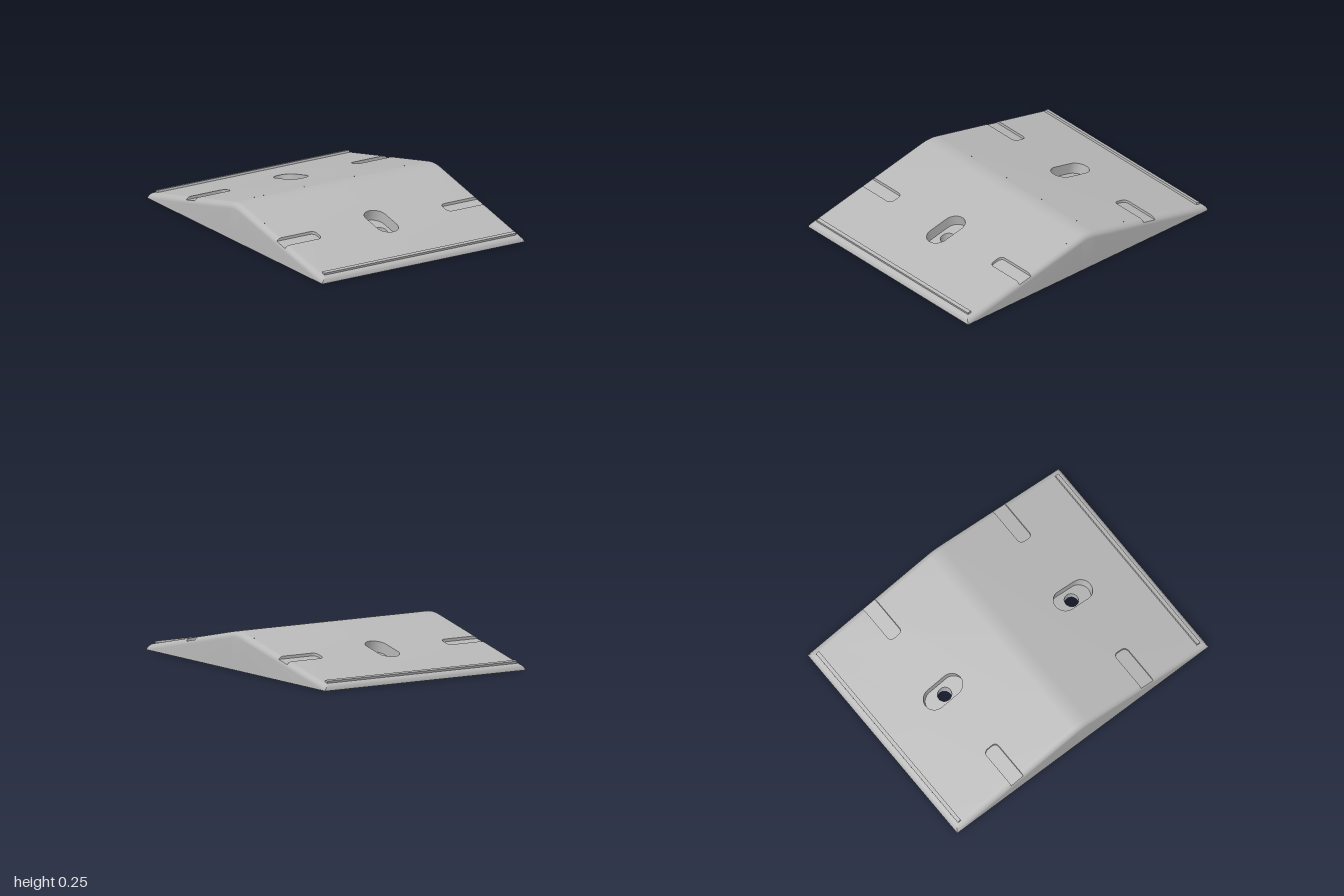
import * as THREE from 'three';
import { mergeGeometries, toCreasedNormals } from 'three/addons/utils/BufferGeometryUtils.js';

const HALF_W = 0.755, FILLET = 0.04, FLAT_X = HALF_W - FILLET;
const RIDGE = 0.06, END = 0.96, SLOPE = 0.218;
const NOTCH = { x: 0.47, z0: 0.47, z1: 0.565, r: 0.03, depth: 0.018 };
const tilt = Math.atan(SLOPE);

// Ramp profile: softened ridge, straight slope
const main = z => z < RIDGE ? 0.245 - SLOPE / (2 * RIDGE) * z * z : 0.2515 - SLOPE * z;

// Full top height including the rounded sides and rounded toe
function height(x, z) {
  const dx = Math.min(FILLET, Math.max(0, Math.abs(x) - FLAT_X));
  const side = main(z) - FILLET + Math.sqrt(FILLET * FILLET - dx * dx);
  const e = Math.min(1, Math.max(0, (z - END) / (1 - END)));
  const toe = z > END ? main(END) * Math.sqrt(1 - e * e) : Infinity;
  return Math.max(0, Math.min(side, toe));
}

const range = (n, f) => Array.from({ length: n + 1 }, (_, i) => f(i / n));

// Grid surface whose front faces dP/du x dP/dv
function sheet(us, vs, fn) {
  const pos = [];
  for (let i = 0; i < us.length - 1; i++) {
    for (let j = 0; j < vs.length - 1; j++) {
      const a = fn(us[i], vs[j]), b = fn(us[i + 1], vs[j]);
      const c = fn(us[i + 1], vs[j + 1]), d = fn(us[i], vs[j + 1]);
      pos.push(...a, ...b, ...c, ...a, ...c, ...d);
    }
  }
  const g = new THREE.BufferGeometry();
  g.setAttribute('position', new THREE.Float32BufferAttribute(pos, 3));
  return g;
}

// Flat shape whose points are moved to fn(x, shapeY)
function plate(shape, fn) {
  const g = new THREE.ShapeGeometry(shape, 16).toNonIndexed();
  g.deleteAttribute('normal');
  g.deleteAttribute('uv');
  const p = g.attributes.position;
  for (let i = 0; i < p.count; i++) p.setXYZ(i, ...fn(p.getX(i), p.getY(i)));
  return g;
}

// Wall between two mappings of an outline, facing the inside of a CCW loop
const wall = (pts, top, bottom) => sheet(pts.map((_, i) => i), [0, 1],
  (i, v) => (v ? bottom : top)(pts[i].x, pts[i].y));

const circle = (x, y, r) => range(32, t =>
  new THREE.Vector2(x + r * Math.cos(t * 2 * Math.PI), y + r * Math.sin(t * 2 * Math.PI)));
const path = pts => new THREE.Path(pts.slice(0, -1));
const mirrorX = pts => pts.map(p => new THREE.Vector2(-p.x, p.y)).reverse();
const join = (...geos) => toCreasedNormals(mergeGeometries(geos), 0.6);

export function createModel() {
  const grey = new THREE.MeshStandardMaterial({ color: 0xb8b8b8 });
  grey.name = 'grey';
  const model = new THREE.Group();
  model.name = 'ramp';

  // Fillet columns; the notch floor runs out where the fillet drops below it
  const tOut = Math.acos(1 - NOTCH.depth / FILLET);
  const colX = t => FLAT_X + FILLET * Math.sin(t);
  const inner = range(5, t => colX(t * tOut));
  const outer = range(5, t => colX(tOut + t * (Math.PI / 2 - tOut)));
  const edge = [...inner, ...outer.slice(1)];
  const neg = xs => xs.map(x => -x).reverse();
  const allX = [...neg(edge), ...edge];

  // Notch outline, shape y = -z
  const { x: nx, z0, z1, r } = NOTCH;
  const arc = (cx, cy, a0, a1) => range(6, t => {
    const a = a0 + (a1 - a0) * t;
    return new THREE.Vector2(cx + r * Math.cos(a), cy + r * Math.sin(a));
  });
  const notch = [
    ...[...inner].reverse().map(x => new THREE.Vector2(x, -z1)),
    ...arc(nx + r, -z1 + r, 1.5 * Math.PI, Math.PI),
    ...arc(nx + r, -z0 - r, Math.PI, Math.PI / 2),
    ...inner.map(x => new THREE.Vector2(x, -z0)),
  ];
  const notches = [notch, mirrorX(notch)];
  const onPanel = pts => pts.filter(p => Math.abs(p.x) <= FLAT_X + 1e-6);

  // Bolt pocket outline
  const pocket = [
    ...range(16, t => new THREE.Vector2(0.072 * Math.cos(t * Math.PI), -0.452 + 0.072 * Math.sin(t * Math.PI))),
    ...range(16, t => new THREE.Vector2(-0.072 * Math.cos(t * Math.PI), -0.583 - 0.072 * Math.sin(t * Math.PI))),
  ];
  pocket.push(pocket[0].clone());

  const V = (x, y) => new THREE.Vector2(x, y);
  const top = (x, y) => [x, height(x, -y), -y];

  // Sloped panel with the pocket and notches cut out
  const panel = new THREE.Shape([
    V(-FLAT_X, -END), V(FLAT_X, -END), ...onPanel(notches[0]),
    V(FLAT_X, -RIDGE), V(-FLAT_X, -RIDGE), ...onPanel(notches[1]),
  ]);
  panel.holes.push(path(pocket));

  // Underside with bolt holes and foot recesses
  const holeZ = 0.505, holeR = 0.045, footR = 0.065, footY = 0.045;
  const feet = [-0.605, 0.605].map(x => circle(x, 0.785, footR));
  const base = new THREE.Shape([V(-HALF_W, 0), V(HALF_W, 0), V(HALF_W, 1), V(-HALF_W, 1)]);
  base.holes.push(path(circle(0, holeZ, holeR)), ...feet.map(path));

  const ridgeZ = range(8, t => t * RIDGE);
  const toeZ = range(10, t => END + (1 - END) * Math.sin(t * Math.PI / 2));
  const sideZ = [...ridgeZ, ...toeZ];
  const up = (z, x) => [x, height(x, z), z];
  const skin = [
    plate(panel, top),
    plate(base, (x, y) => [x, 0, y]),
    sheet(ridgeZ, allX, up),
    sheet(toeZ, allX, up),
    sheet([0, 1], sideZ, (v, z) => [HALF_W, v * height(HALF_W, z), z]),
    sheet(sideZ, [0, 1], (z, v) => [-HALF_W, v * height(HALF_W, z), z]),
  ];
  for (const flip of [xs => xs, neg]) {
    skin.push(sheet([RIDGE, z0], flip(inner), up), sheet([z1, END], flip(inner), up),
      sheet([RIDGE, END], flip(outer), up));
  }

  // Pocket sunk square to the slope, with a vertical through hole
  const depth = 0.07, shift = depth * Math.sin(tilt), drop = depth * Math.cos(tilt);
  const sunk = (x, y) => [x, main(-y) - drop, -y - shift];
  const bolt = circle(0, -(holeZ + shift), holeR);
  const floor = new THREE.Shape(pocket.slice(0, -1));
  floor.holes.push(path(bolt));
  const pocketGeo = join(wall(pocket, top, sunk), plate(floor, sunk),
    wall(bolt, sunk, (x, y) => [x, 0, -y - shift]));

  // Shallow side notches
  const low = (x, y) => [x, main(-y) - NOTCH.depth, -y];
  const notchGeo = join(...notches.flatMap(n =>
    [wall([...n].reverse(), top, low), plate(new THREE.Shape(n), low)]));

  // Blind recesses under the corners
  const footGeo = join(...feet.flatMap(f => [
    wall(f.map(p => V(p.x, -p.y)).reverse(), (x, y) => [x, footY, -y], (x, y) => [x, 0, -y]),
    plate(new THREE.Shape(f.slice(0, -1)), (x, y) => [x, footY, y]),
  ]));

  // Thin rib across the toe
  const ribGeo = new THREE.BoxGeometry(1.43, 0.028, 0.025);
  ribGeo.rotateX(tilt).translate(0, main(0.951), 0.951);

  const parts = {
    Skin: join(...skin), BoltPocket: pocketGeo, SideNotches: notchGeo,
    FootRecesses: footGeo, EdgeRib: ribGeo,
  };
  for (const side of ['front', 'back']) {
    const half = new THREE.Group();
    half.name = side + 'Half';
    for (const [name, geo] of Object.entries(parts)) {
      const mesh = new THREE.Mesh(geo, grey);
      mesh.name = side + name;
      half.add(mesh);
    }
    if (side === 'back') half.rotation.y = Math.PI;
    model.add(half);
  }
  return model;
}
